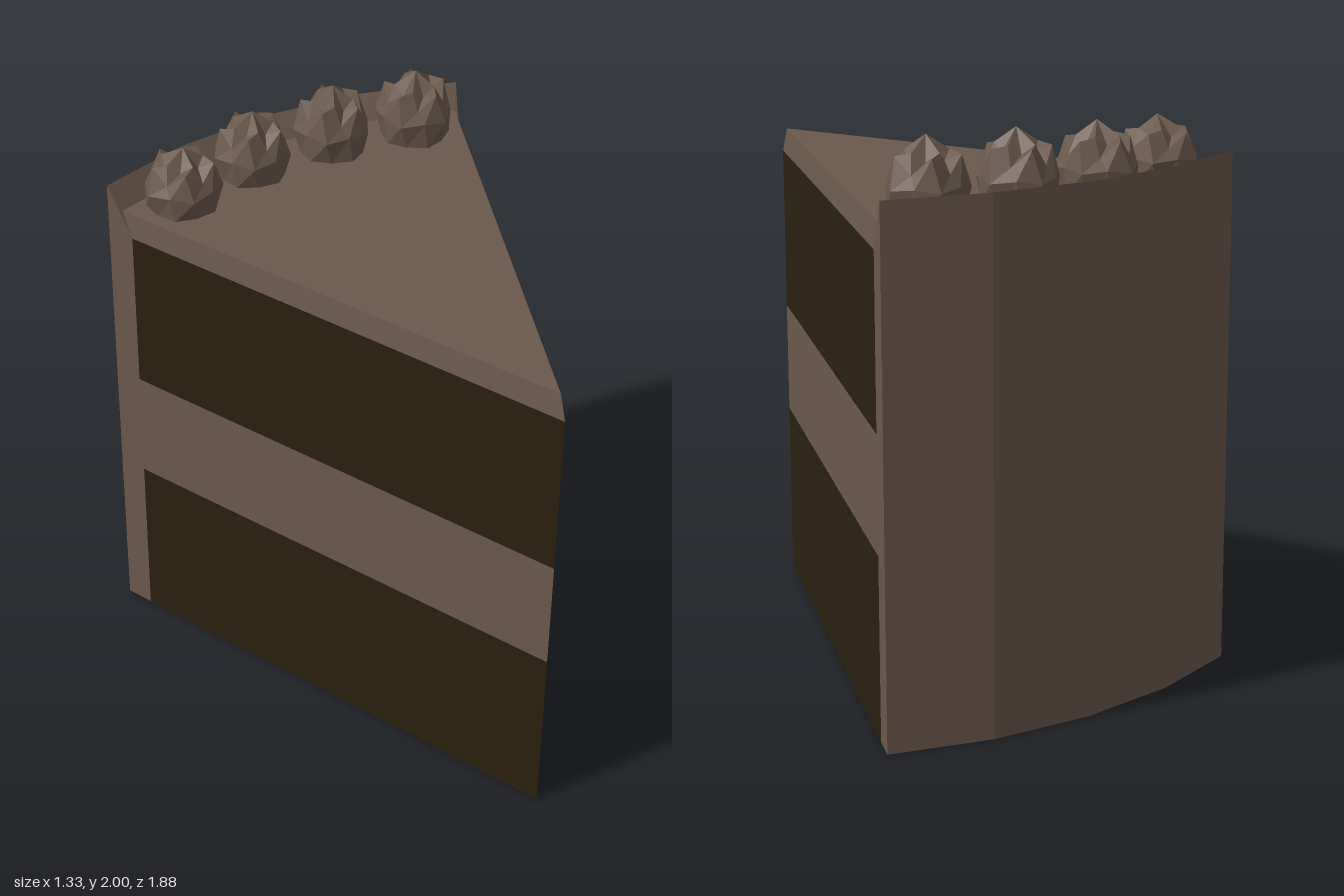
import * as THREE from 'three';

const frosting = new THREE.MeshStandardMaterial({ color: 0x6b584b, flatShading: true });
const sponge = new THREE.MeshStandardMaterial({ color: 0x2a200f, flatShading: true });

const SEG = 4, STEP = Math.PI / 4 / SEG;
const TIP_X = 0.665, TIP_Z = 0.935;
const R_CAKE = 1.77, R_TOP = 1.82, R_OUT = 1.875;
const Y_EDGE = 1.655, Y_TOP = 1.743, Y_RIM = 1.83, INSET = 0.012;

// Point on the slice at arc step i, distance r from the tip
const P = (i, r, y) => [TIP_X - r * Math.sin(i * STEP), y, TIP_Z - r * Math.cos(i * STEP)];

// Collects polygons as triangle fans
function faceBuilder() {
  const pos = [];
  return {
    add(pts, flip = false) {
      const p = flip ? [...pts].reverse() : pts;
      for (let k = 1; k < p.length - 1; k++) pos.push(...p[0], ...p[k], ...p[k + 1]);
    },
    geometry() {
      const g = new THREE.BufferGeometry();
      g.setAttribute('position', new THREE.Float32BufferAttribute(pos, 3));
      g.computeVertexNormals();
      return g;
    },
  };
}

function mesh(geometry, material, name) {
  const m = new THREE.Mesh(geometry, material);
  m.name = name;
  return m;
}

// Flat wedge-shaped layer
function layer(y0, y1, material, name) {
  const pts = [new THREE.Vector2(TIP_X, -TIP_Z)];
  for (let i = 0; i <= SEG; i++) {
    const [x, , z] = P(i, R_CAKE, 0);
    pts.push(new THREE.Vector2(x, -z));
  }
  const g = new THREE.ExtrudeGeometry(new THREE.Shape(pts), { depth: y1 - y0, bevelEnabled: false });
  g.rotateX(-Math.PI / 2).translate(0, y0, 0);
  return mesh(g, material, name);
}

// Top coat with bevelled cut edges, joined to the raised wall at the back
function icing() {
  const f = faceBuilder();
  const top = [];
  for (let i = 0; i <= SEG; i++) top.push(P(i, R_TOP, Y_TOP));
  top[0][0] -= INSET;
  top[SEG][0] += INSET * Math.SQRT1_2;
  top[SEG][2] -= INSET * Math.SQRT1_2;
  const tipTop = [TIP_X - INSET, Y_TOP, TIP_Z - INSET / Math.tan(Math.PI / 8)];

  f.add([tipTop, ...top]);
  for (let i = 0; i < SEG; i++) {
    const j = i + 1;
    f.add([top[i], P(i, R_OUT, Y_RIM), P(j, R_OUT, Y_RIM), top[j]]);
    f.add([P(i, R_OUT, 0), P(j, R_OUT, 0), P(j, R_OUT, Y_RIM), P(i, R_OUT, Y_RIM)]);
    f.add([P(i, R_CAKE, 0), P(j, R_CAKE, 0), P(j, R_OUT, 0), P(i, R_OUT, 0)]);
  }
  // Both cut sides
  for (const i of [0, SEG]) {
    const flip = i === SEG;
    f.add([P(i, R_CAKE, 0), P(i, R_OUT, 0), P(i, R_OUT, Y_RIM), P(i, R_CAKE, Y_EDGE)], flip);
    f.add([P(i, 0, Y_EDGE), P(i, R_CAKE, Y_EDGE), top[i], tipTop], flip);
    f.add([P(i, R_CAKE, Y_EDGE), P(i, R_OUT, Y_RIM), top[i]], flip);
  }
  return mesh(f.geometry(), frosting, 'icing');
}

// Piped dollop: twisted rings with a jagged crown and a small peak
function dollopGeometry() {
  const N = 10, f = faceBuilder();
  // [even radius, odd radius, even height, odd height, twist]
  const rings = [
    [0.118, 0.128, 0, 0, 0],
    [0.142, 0.13, 0.09, 0.1, 0.12],
    [0.112, 0.105, 0.195, 0.14, 0.3],
    [0.06, 0.075, 0.175, 0.205, 0.5],
  ].map(([r0, r1, h0, h1, twist]) => Array.from({ length: N }, (_, j) => {
    const a = (j / N) * Math.PI * 2 + twist, r = j % 2 ? r1 : r0;
    return [r * Math.cos(a), j % 2 ? h1 : h0, r * Math.sin(a)];
  }));
  const peak = [0.005, 0.255, 0.005];
  for (let j = 0; j < N; j++) {
    const n = (j + 1) % N;
    for (let k = 0; k < rings.length - 1; k++) {
      f.add([rings[k][n], rings[k][j], rings[k + 1][j], rings[k + 1][n]]);
    }
    f.add([rings[3][n], rings[3][j], peak]);
  }
  return f.geometry();
}

export function createModel() {
  const model = new THREE.Group();
  model.name = 'cakeSlice';
  model.add(
    layer(0, 0.645, sponge, 'lowerSponge'),
    layer(0.645, 1.055, frosting, 'creamFilling'),
    layer(1.055, Y_EDGE, sponge, 'upperSponge'),
    icing(),
  );

  // Row of dollops along the back rim
  const g = dollopGeometry();
  const spots = [[-0.4, -0.385, 0.88], [-0.137, -0.565, 0.96], [0.167, -0.69, 1], [0.477, -0.755, 1]];
  spots.forEach(([x, z, h], i) => {
    const d = mesh(g, frosting, `dollop${i + 1}`);
    d.position.set(x, Y_TOP - 0.002, z);
    d.rotation.y = -i * STEP * 1.2;
    d.scale.y = h;
    model.add(d);
  });
  return model;
}
